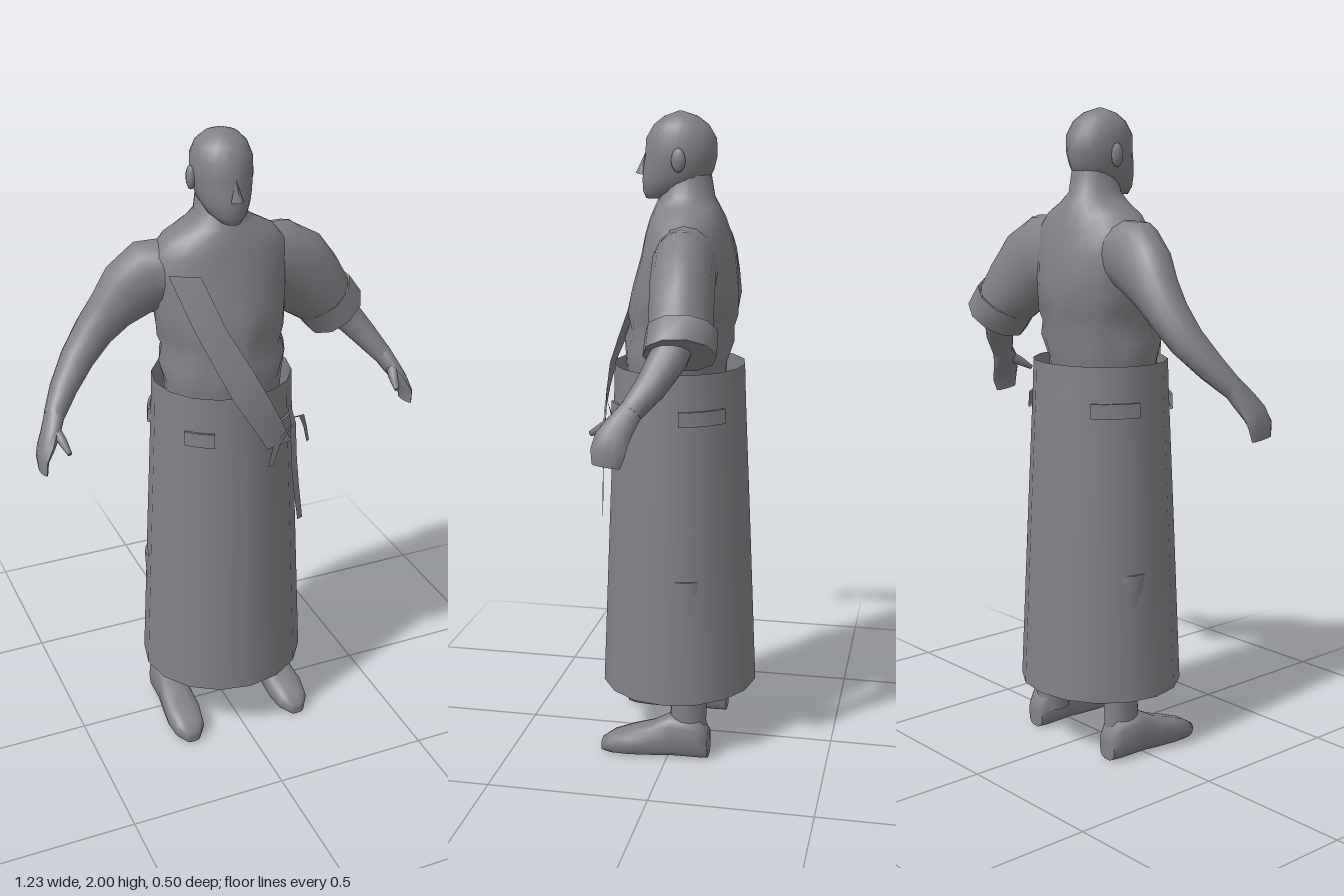
import * as THREE from 'three';
import { toCreasedNormals } from 'three/addons/utils/BufferGeometryUtils.js';

const V = (x, y, z) => new THREE.Vector3(x, y, z);

// Skin a list of equally long closed rings of points, capping the ends on request
function loft(rings, caps = true, crease = 1.1) {
  const n = rings[0].length, pos = [], idx = [];
  rings.forEach(r => r.forEach(p => pos.push(p.x, p.y, p.z)));
  for (let i = 0; i < rings.length - 1; i++) for (let j = 0; j < n; j++) {
    const a = i * n + j, b = i * n + (j + 1) % n;
    idx.push(a, b, b + n, a, b + n, a + n);
  }
  if (caps) [0, rings.length - 1].forEach((k, end) => {
    const c = rings[k].reduce((s, p) => s.add(p), V(0, 0, 0)).divideScalar(n);
    const m = pos.length / 3;
    pos.push(c.x, c.y, c.z);
    for (let j = 0; j < n; j++) {
      const a = k * n + j, b = k * n + (j + 1) % n;
      if (end) idx.push(m, a, b); else idx.push(m, b, a);
    }
  });
  const g = new THREE.BufferGeometry();
  g.setAttribute('position', new THREE.Float32BufferAttribute(pos, 3));
  g.setIndex(idx);
  return toCreasedNormals(g, crease);
}

// Horizontal rings from rows [y, half width, front z, back z, fold depth]
function stack(rows, n, cx = 0) {
  return rows.map(([y, rx, f, b, fold = 0]) => Array.from({ length: n }, (_, j) => {
    const a = j / n * Math.PI * 2, k = 1 + fold * Math.cos(j * Math.PI * 0.66);
    return V(cx + Math.sin(a) * rx * k, y + fold * 0.25 * Math.sin(j * 2.1),
      (f + b) / 2 + Math.cos(a) * (f - b) / 2 * k);
  }));
}

// Rings across a limb path, rows [x, y, z, radius in front plane, radius in depth]
function limb(rows, n) {
  const c = rows.map(r => V(r[0], r[1], r[2]));
  return rows.map(([, , , ra, rb], i) => {
    const t = c[Math.min(i + 1, c.length - 1)].clone().sub(c[Math.max(i - 1, 0)]).normalize();
    const v = V(0, 0, 1).addScaledVector(t, -t.z).normalize();
    const u = t.clone().cross(v);
    return Array.from({ length: n }, (_, j) => {
      const a = j / n * Math.PI * 2;
      return c[i].clone().addScaledVector(u, Math.sin(a) * ra).addScaledVector(v, Math.cos(a) * rb);
    });
  });
}

// Flat band from rows [y, left x, left z, right x, right z]
function ribbon(rows) {
  const pos = [], idx = [];
  rows.forEach(([y, x0, z0, x1, z1], i) => {
    pos.push(x0, y, z0, x1, y, z1);
    if (i) { const a = 2 * i - 2; idx.push(a, a + 2, a + 1, a + 1, a + 2, a + 3); }
  });
  const g = new THREE.BufferGeometry();
  g.setAttribute('position', new THREE.Float32BufferAttribute(pos, 3));
  g.setIndex(idx);
  g.computeVertexNormals();
  return g;
}

export function createModel() {
  const model = new THREE.Group();
  const grey = new THREE.MeshStandardMaterial({ color: 0x818286, side: THREE.DoubleSide });
  grey.name = 'plain grey';
  const add = (name, geo) => {
    const m = new THREE.Mesh(geo, grey);
    m.name = name;
    model.add(m);
    return m;
  };

  // Torso with gathered shirt folds above the waist, running up into the neck
  add('torso', loft(stack([
    [1.15, 0.18, 0.16, -0.14], [1.24, 0.185, 0.165, -0.145], [1.31, 0.2, 0.172, -0.165, 0.03],
    [1.355, 0.185, 0.155, -0.163, 0.04], [1.39, 0.2, 0.162, -0.176, 0.03], [1.48, 0.207, 0.142, -0.18],
    [1.57, 0.217, 0.115, -0.17], [1.64, 0.212, 0.1, -0.152], [1.685, 0.175, 0.088, -0.138],
    [1.72, 0.11, 0.075, -0.122], [1.75, 0.073, 0.062, -0.107], [1.82, 0.066, 0.05, -0.095]], 24), true, 1.4));

  // Head with nose and ears
  add('head', loft(stack([
    [1.742, 0.028, 0.105, 0.03], [1.765, 0.056, 0.115, -0.04], [1.8, 0.074, 0.116, -0.09],
    [1.83, 0.082, 0.113, -0.104], [1.87, 0.088, 0.106, -0.114], [1.92, 0.089, 0.104, -0.112],
    [1.96, 0.074, 0.08, -0.088], [1.985, 0.048, 0.048, -0.054], [2, 0.005, 0.005, -0.008]], 20), true, 1.5));
  const nose = add('nose', new THREE.ConeGeometry(0.02, 0.065, 4));
  nose.position.set(0, 1.845, 0.112);
  nose.rotation.x = -0.15;
  for (const s of [1, -1]) {
    const ear = add(s > 0 ? 'leftEar' : 'rightEar', new THREE.SphereGeometry(1, 8, 6));
    ear.scale.set(0.014, 0.036, 0.022);
    ear.position.set(s * 0.09, 1.86, -0.012);
  }

  // Arms, hands and feet, mirrored
  for (const s of [1, -1]) {
    const side = s > 0 ? 'left' : 'right';
    const mir = rows => rows.map(([x, ...r]) => [x * s, ...r]);
    add(side + 'Arm', loft(limb(mir([
      [0.13, 1.575, -0.04, 0.1, 0.085], [0.215, 1.565, -0.05, 0.112, 0.085], [0.27, 1.525, -0.06, 0.1, 0.076],
      [0.325, 1.47, -0.068, 0.074, 0.068], [0.38, 1.41, -0.07, 0.06, 0.062], [0.44, 1.338, -0.055, 0.05, 0.056],
      [0.5, 1.265, -0.015, 0.04, 0.046], [0.545, 1.205, 0.03, 0.03, 0.036]]), 14), true, 1.4));
    add(side + 'Hand', loft(limb(mir([
      [0.54, 1.215, 0.025, 0.03, 0.034], [0.565, 1.17, 0.055, 0.026, 0.044], [0.587, 1.135, 0.075, 0.02, 0.05],
      [0.603, 1.1, 0.083, 0.012, 0.05], [0.604, 1.06, 0.088, 0.009, 0.04]]), 10)));
    add(side + 'Thumb', loft(limb(mir([
      [0.56, 1.185, 0.06, 0.018, 0.022], [0.546, 1.16, 0.105, 0.014, 0.016], [0.537, 1.135, 0.148, 0.007, 0.008]]), 7)));

    // Boot shaft and foot
    add(side + 'Leg', loft(stack([
      [0.06, 0.05, -0.005, -0.125], [0.12, 0.047, 0.0, -0.118], [0.2, 0.053, -0.01, -0.12],
      [0.6, 0.075, 0.02, -0.12]], 14, s * 0.17)));
    const foot = [[-0.128, 0.034, 0.09], [-0.1, 0.048, 0.13], [-0.01, 0.048, 0.138], [0.05, 0.054, 0.105],
      [0.12, 0.059, 0.082], [0.18, 0.05, 0.06], [0.215, 0.024, 0.038]];
    const soft = t => Math.sign(t) * Math.abs(t) ** 0.65;
    add(side + 'Foot', loft(foot.map(([z, w, h]) => Array.from({ length: 14 }, (_, j) => {
      const a = j / 14 * Math.PI * 2;
      return V(s * (0.183 + z * 0.03) + soft(Math.cos(a)) * w, h * (0.5 + 0.5 * soft(Math.sin(a))), z);
    }))));

    // Belt loops at the front and back of each hip
    for (const [name, p0, p1] of [['Front', 0.46, 0.88], ['Back', 1.75, 2.45]]) {
      const g = new THREE.LatheGeometry(
        [[0.226, 1.085], [0.234, 1.085], [0.232, 1.13], [0.224, 1.13]].map(p => new THREE.Vector2(...p)),
        4, s > 0 ? p0 : -p1, p1 - p0);
      add(side + name + 'BeltLoop', toCreasedNormals(g.scale(1, 1, 0.94), 0.6));
    }
  }

  // Wide short sleeve on one arm, with a turned-up cuff
  add('sleeve', loft(limb([
    [0.12, 1.55, -0.04, 0.13, 0.1], [0.2, 1.545, -0.05, 0.135, 0.095], [0.27, 1.505, -0.06, 0.132, 0.095],
    [0.325, 1.45, -0.068, 0.118, 0.094], [0.385, 1.385, -0.078, 0.096, 0.092]], 16), false, 1.4));
  add('sleeveCuff', loft(limb([
    [0.385, 1.39, -0.078, 0.085, 0.085], [0.372, 1.403, -0.078, 0.106, 0.104], [0.42, 1.342, -0.082, 0.103, 0.106],
    [0.415, 1.347, -0.082, 0.088, 0.09], [0.385, 1.385, -0.08, 0.07, 0.07]], 10), false, 0.7));

  // Long wrapped skirt, open at both ends
  const skirt = new THREE.LatheGeometry([[0.265, 0.2], [0.241, 0.72], [0.221, 1.13], [0.217, 1.24]]
    .map(p => new THREE.Vector2(...p)), 16);
  add('skirt', skirt.scale(1, 1, 0.94));

  // Sash hanging across the chest and over the skirt
  add('sash', ribbon([
    [1.6, -0.19, 0.062, -0.105, 0.1], [1.45, -0.14, 0.128, -0.05, 0.155], [1.32, -0.085, 0.18, 0.02, 0.19],
    [1.24, -0.05, 0.21, 0.06, 0.21], [1.15, 0.005, 0.224, 0.105, 0.212], [1.065, 0.055, 0.23, 0.145, 0.205]]));

  // Loose tie cords
  add('longCord', ribbon([
    [1.185, 0.132, 0.2, 0.142, 0.2], [1.12, 0.143, 0.202, 0.163, 0.196], [1.0, 0.143, 0.21, 0.166, 0.204],
    [0.9, 0.152, 0.214, 0.175, 0.206], [0.78, 0.17, 0.212, 0.19, 0.205]]));
  add('sideCord', ribbon([
    [1.14, 0.14, 0.2, 0.155, 0.196], [1.13, 0.18, 0.185, 0.2, 0.176], [1.08, 0.205, 0.165, 0.22, 0.155],
    [1.015, 0.225, 0.15, 0.238, 0.14]]));
  add('shortCord', ribbon([
    [1.12, 0.135, 0.212, 0.15, 0.206], [1.07, 0.075, 0.226, 0.1, 0.222], [1.005, 0.058, 0.23, 0.075, 0.228]]));

  return model;
}
